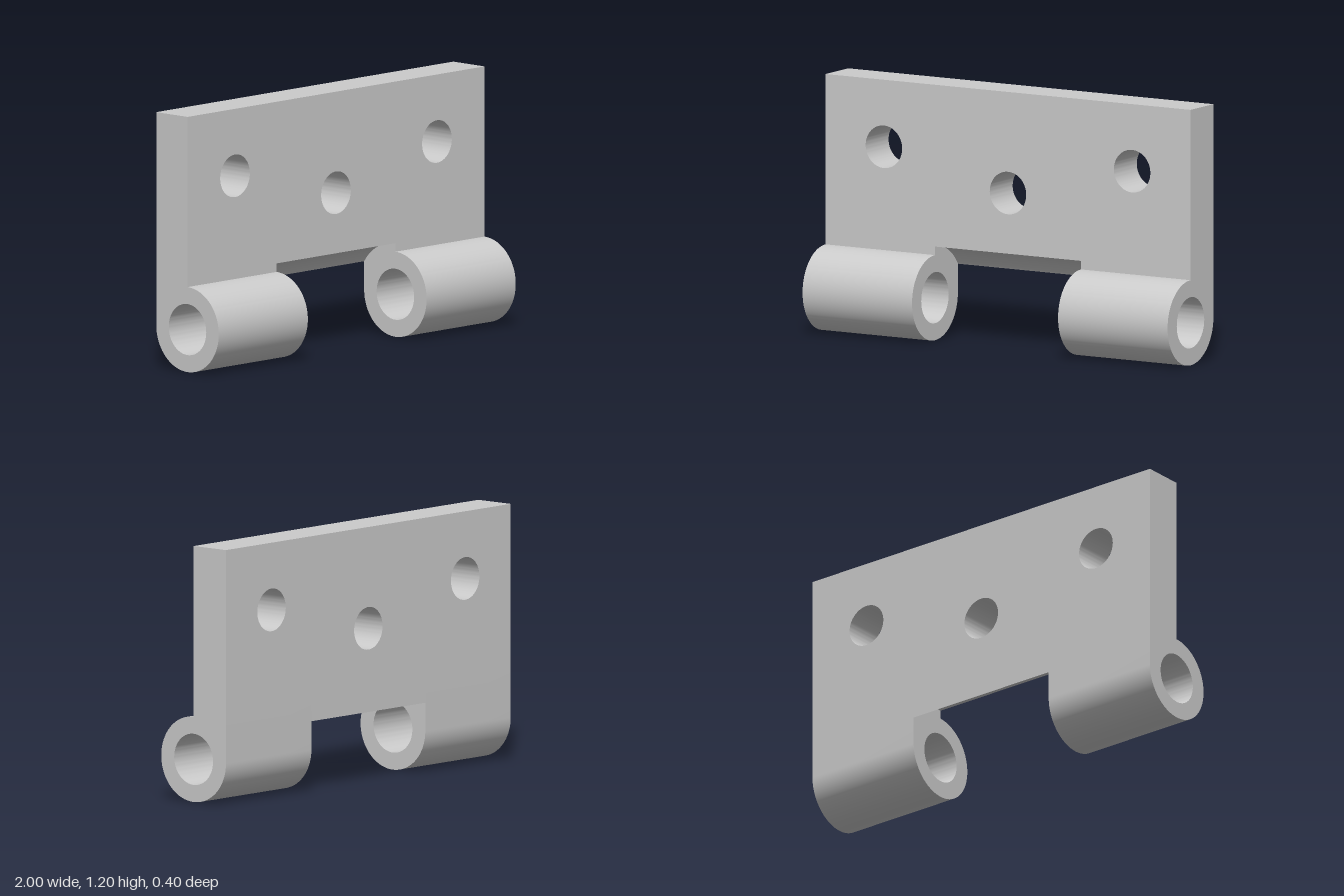
import * as THREE from 'three';
import { toCreasedNormals } from 'three/addons/utils/BufferGeometryUtils.js';

const THICK = 0.2;    // plate thickness, from z = -0.2 to z = 0
const AXIS = 0.2;     // height of the pin axis, which lies at z = 0
const SEAM = 0.44;    // height where the plate meets the knuckles
const NOTCH = 0.4;    // half width of the gap between the knuckles

const material = new THREE.MeshStandardMaterial({ color: 0xcccccc });

function extrude(shape, depth) {
  return new THREE.ExtrudeGeometry(shape, { depth, bevelEnabled: false, curveSegments: 48 });
}

function addMesh(group, name, geometry) {
  const mesh = new THREE.Mesh(toCreasedNormals(geometry, 0.5), material);
  mesh.name = name;
  group.add(mesh);
}

// Side profile (horizontal = -z, vertical = y) swept along x from x0
function sweepX(shape, x0, width) {
  return extrude(shape, width).rotateY(Math.PI / 2).translate(x0, 0, 0);
}

function roundHole(x, y, r) {
  return new THREE.Path().absarc(x, y, r, 0, Math.PI * 2, true);
}

export function createModel() {
  const group = new THREE.Group();
  group.name = 'hingeLeaf';

  // Flat leaf with three screw holes
  const leaf = new THREE.Shape();
  leaf.moveTo(-1, SEAM).lineTo(1, SEAM).lineTo(1, 1.2).lineTo(-1, 1.2).closePath();
  for (const [x, y] of [[-0.68, 0.885], [0, 0.725], [0.68, 0.885]]) {
    leaf.holes.push(roundHole(x, y, 0.1));
  }
  addMesh(group, 'leafPlate', extrude(leaf, THICK).translate(0, 0, -THICK));

  // Bored knuckles, tangent to the back of the leaf
  const knuckle = new THREE.Shape();
  knuckle.moveTo(THICK, SEAM).lineTo(0, SEAM).lineTo(0, AXIS + 0.2);
  knuckle.absarc(0, AXIS, 0.2, Math.PI / 2, Math.PI * 2, false);
  knuckle.closePath();
  knuckle.holes.push(roundHole(0, AXIS, 0.12));
  addMesh(group, 'rightKnuckle', sweepX(knuckle, -1, 1 - NOTCH));
  addMesh(group, 'leftKnuckle', sweepX(knuckle, NOTCH, 1 - NOTCH));

  // Concave clearance under the leaf for the mating knuckle
  const clearance = SEAM - AXIS;
  const relief = new THREE.Shape();
  relief.moveTo(0, SEAM);
  relief.absarc(0, AXIS, clearance, Math.PI / 2, Math.acos(THICK / clearance), true);
  relief.lineTo(THICK, SEAM).closePath();
  addMesh(group, 'knuckleClearance', sweepX(relief, -NOTCH, 2 * NOTCH));

  return group;
}
